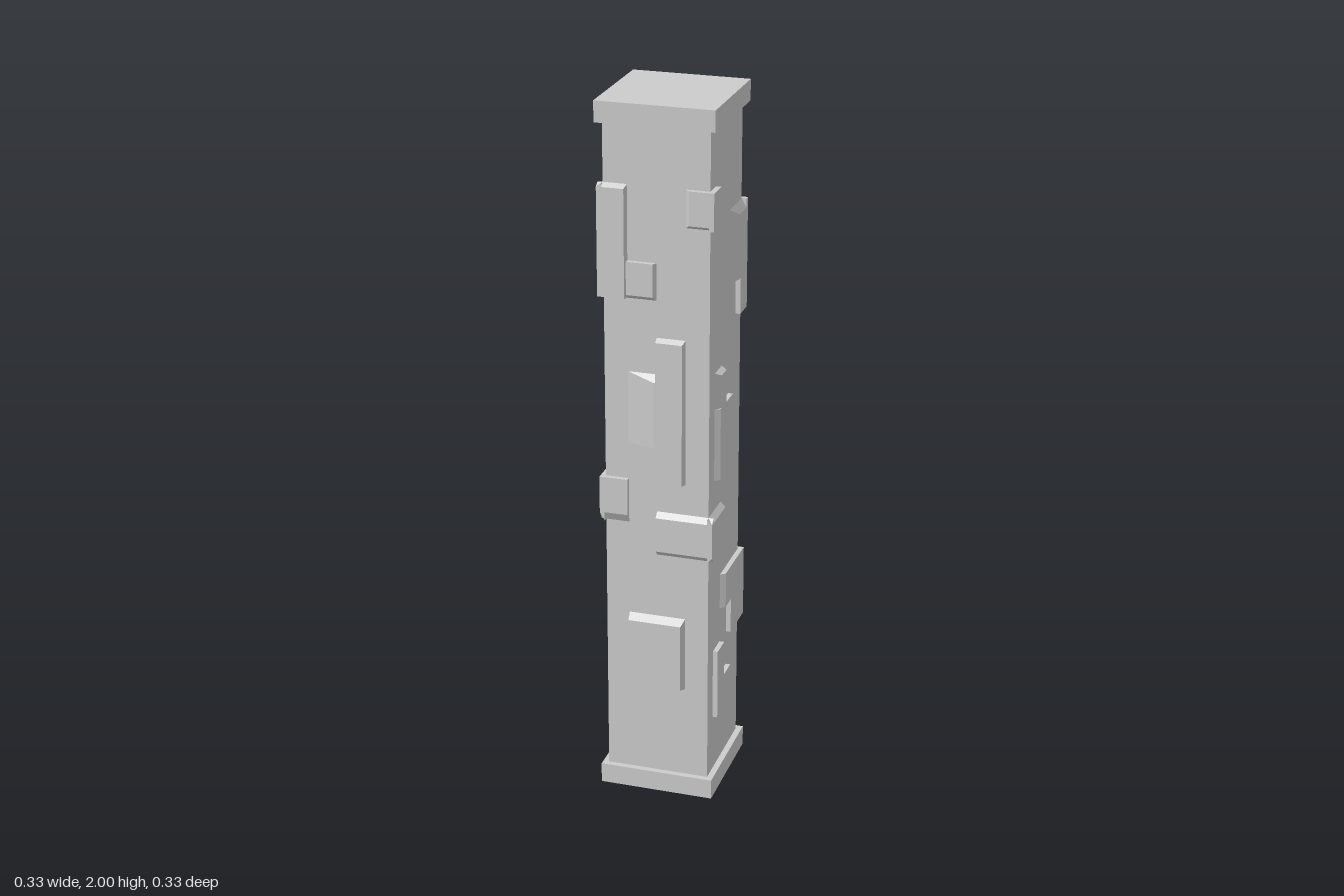
import * as THREE from 'three';

const CORE = 0.146; // half width of the shaft
const REACH = 0.16; // outer reach of the raised plates
const material = new THREE.MeshStandardMaterial({ color: 0xcccccc, flatShading: true });

// Plates sit on a grid: columns across a side, rows up the shaft
const rowY = (row) => 0.225 + 0.1037 * row;

function block(group, name, width, height, y) {
  const mesh = new THREE.Mesh(new THREE.BoxGeometry(width, height, width), material);
  mesh.name = name;
  mesh.position.y = y;
  group.add(mesh);
}

// One side of the shaft; the returned function adds a plate between grid
// columns and rows. slope pulls in the outer face at its left, right, bottom or top.
function makeSide(group, name, turn, columns) {
  const side = new THREE.Group();
  side.name = name + 'Plates';
  side.rotation.y = turn;
  group.add(side);

  return (c0, c1, r0, r1, { left = 0, right = 0, bottom = 0, top = 0 } = {}) => {
    const colU = (c) => REACH * (2 * c / columns - 1);
    const geo = new THREE.BoxGeometry(1, 1, 1);
    const pos = geo.attributes.position;
    for (let i = 0; i < pos.count; i++) {
      const outer = pos.getZ(i) > 0 ? 1 : 0;
      const u = pos.getX(i) < 0 ? colU(c0) + outer * left : colU(c1) - outer * right;
      const y = pos.getY(i) < 0 ? rowY(r0) + outer * bottom : rowY(r1) - outer * top;
      pos.setXYZ(i, u, y, outer ? REACH : CORE);
    }
    geo.computeVertexNormals();
    const mesh = new THREE.Mesh(geo, material);
    mesh.name = `${name}Plate${side.children.length + 1}`;
    side.add(mesh);
  };
}

export function createModel() {
  const group = new THREE.Group();
  group.name = 'pillar';

  // Shaft between two square slabs
  block(group, 'shaft', CORE * 2, 1.9, 1);
  block(group, 'baseSlab', 0.326, 0.058, 0.029);
  block(group, 'capSlab', 0.326, 0.058, 1.971);

  // Columns run to the right as each side is faced; four on front and back, five on the flanks
  const front = makeSide(group, 'front', 0, 4);
  const left = makeSide(group, 'left', Math.PI / 2, 5);
  const back = makeSide(group, 'back', Math.PI, 4);
  const right = makeSide(group, 'right', -Math.PI / 2, 5);

  // Blocks wrapping the front left corner
  front(3, 4, 14, 15, { left: 0.012, bottom: 0.01 });
  left(0, 1, 14, 15);
  front(2, 4, 4.9, 6.15, { bottom: 0.015, top: 0.015 });
  left(0, 2, 4.9, 6.15, { bottom: 0.015, top: 0.015 });

  // Blocks wrapping the back left corner
  back(0, 1, 11, 14);
  left(3, 5, 12, 14, { left: 0.05, top: 0.025 });
  left(4, 5, 11, 12);
  back(0, 1, 2, 4);
  left(2, 5, 3, 4, { left: 0.012 });
  left(3, 5, 2, 3);

  // Blocks wrapping the back right corner
  for (const row of [9, 13]) {
    back(3, 4, row, row + 1);
    right(0, 1, row, row + 1);
  }
  back(3, 4, 3, 8);
  right(0, 1, 3, 8);
  right(1, 3, 3, 5, { top: 0.025 });
  back(3, 4, 0, 2);
  back(2, 3, 0, 1);
  right(0, 2, 0, 1);

  // Blocks wrapping the front right corner
  front(0, 1, 12, 15, { right: 0.005, top: 0.01 });
  front(1, 2, 12, 13, { right: 0.006, bottom: 0.012 });
  right(4, 5, 12, 15, { left: 0.025, top: 0.01 });
  front(0, 1, 5.75, 7, { bottom: 0.025 });
  right(4, 5, 5.75, 7, { bottom: 0.025 });

  // Plates within the front
  front(2, 3, 7, 11, { right: 0.006, top: 0.01 });
  front(1, 2, 8, 10, { left: 0.075, top: 0.02 });
  front(1, 3, 1, 3.1, { right: 0.01, top: 0.02 });

  // Plates within the left flank
  left(1, 3, 7, 9, { left: 0.012 });
  left(1, 2, 9, 10, { left: 0.02, top: 0.01 });
  left(1, 3, 0, 1);
  left(1, 2, 1, 2);

  // Plates within the right flank
  right(1, 3, 11, 12, { top: 0.01 });
  right(2, 3, 10, 11, { bottom: 0.02 });
  right(3, 4, 6, 9, { right: 0.012 });

  return group;
}
